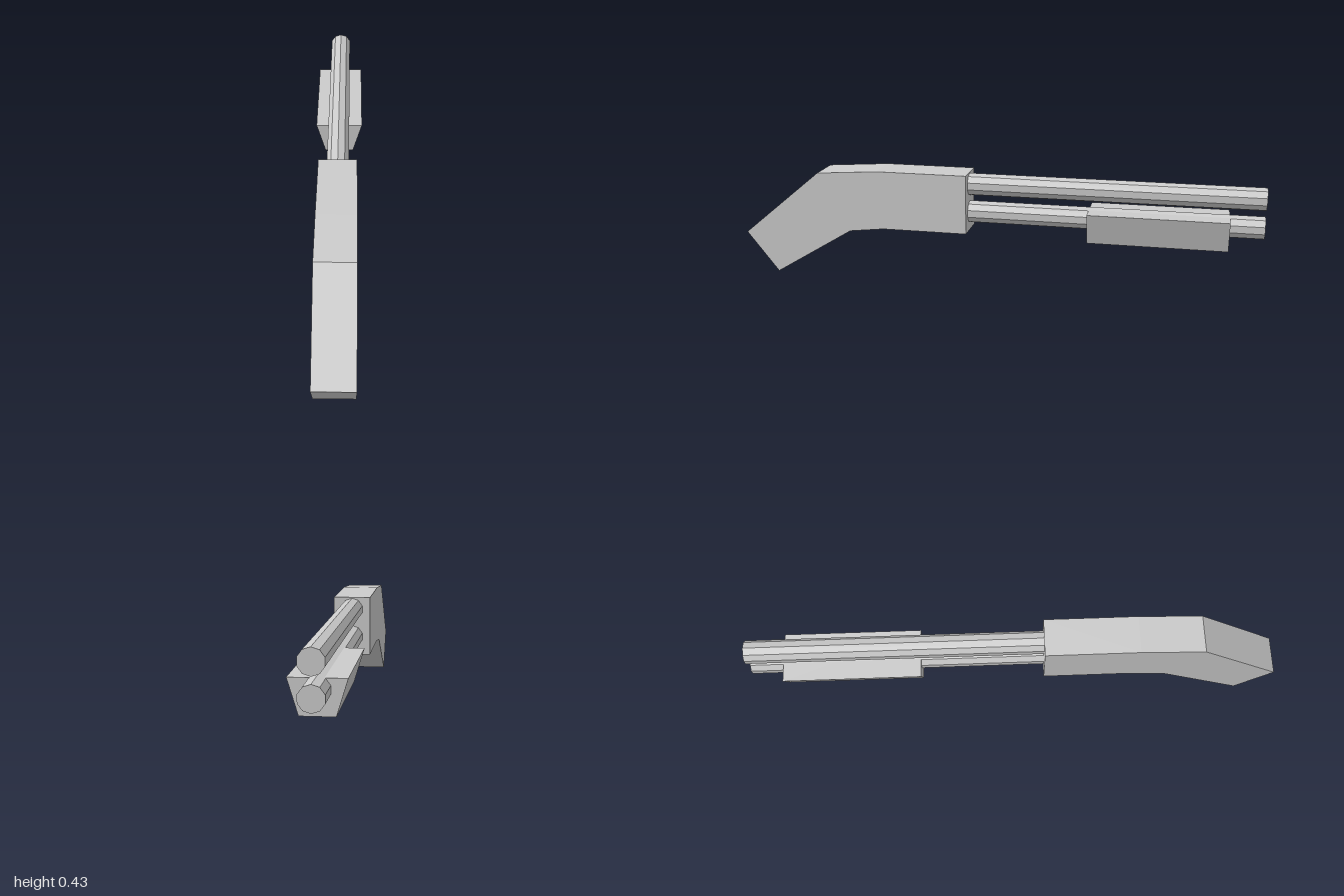
import * as THREE from 'three';

const grey = new THREE.MeshStandardMaterial({ color: 0xcccccc, flatShading: true });

function addPart(group, name, geometry) {
  const mesh = new THREE.Mesh(geometry, grey);
  mesh.name = name;
  group.add(mesh);
  return mesh;
}

function extrude(points, depth) {
  const shape = new THREE.Shape(points.map(([x, y]) => new THREE.Vector2(x, y)));
  return new THREE.ExtrudeGeometry(shape, { depth, bevelEnabled: false });
}

export function createModel() {
  const group = new THREE.Group();

  // Stock and receiver: side outline as (z, y), extruded across the width
  const width = 0.142;
  const outline = [
    [1, 0.157], [0.69, 0.413], [0.45, 0.43], [0.1, 0.43],
    [0.1, 0.203], [0.43, 0.203], [0.565, 0.187], [0.875, 0],
  ];
  const stock = extrude(outline, width);
  stock.rotateY(-Math.PI / 2).translate(width / 2, 0, 0);
  addPart(group, 'stockAndReceiver', stock);

  // Two ten-sided tubes, one above the other
  for (const [name, y] of [['barrel', 0.383], ['magazineTube', 0.275]]) {
    const tube = new THREE.CylinderGeometry(0.043, 0.043, 1.1, 10);
    tube.rotateX(Math.PI / 2);
    addPart(group, name, tube).position.set(0, y, -0.45);
  }

  // Sliding fore-end: trapezoid section, wider at the top
  const section = [[-0.057, 0.193], [0.057, 0.193], [0.093, 0.311], [-0.093, 0.311]];
  addPart(group, 'foreEnd', extrude(section, 0.515)).position.z = -0.875;

  return group;
}
